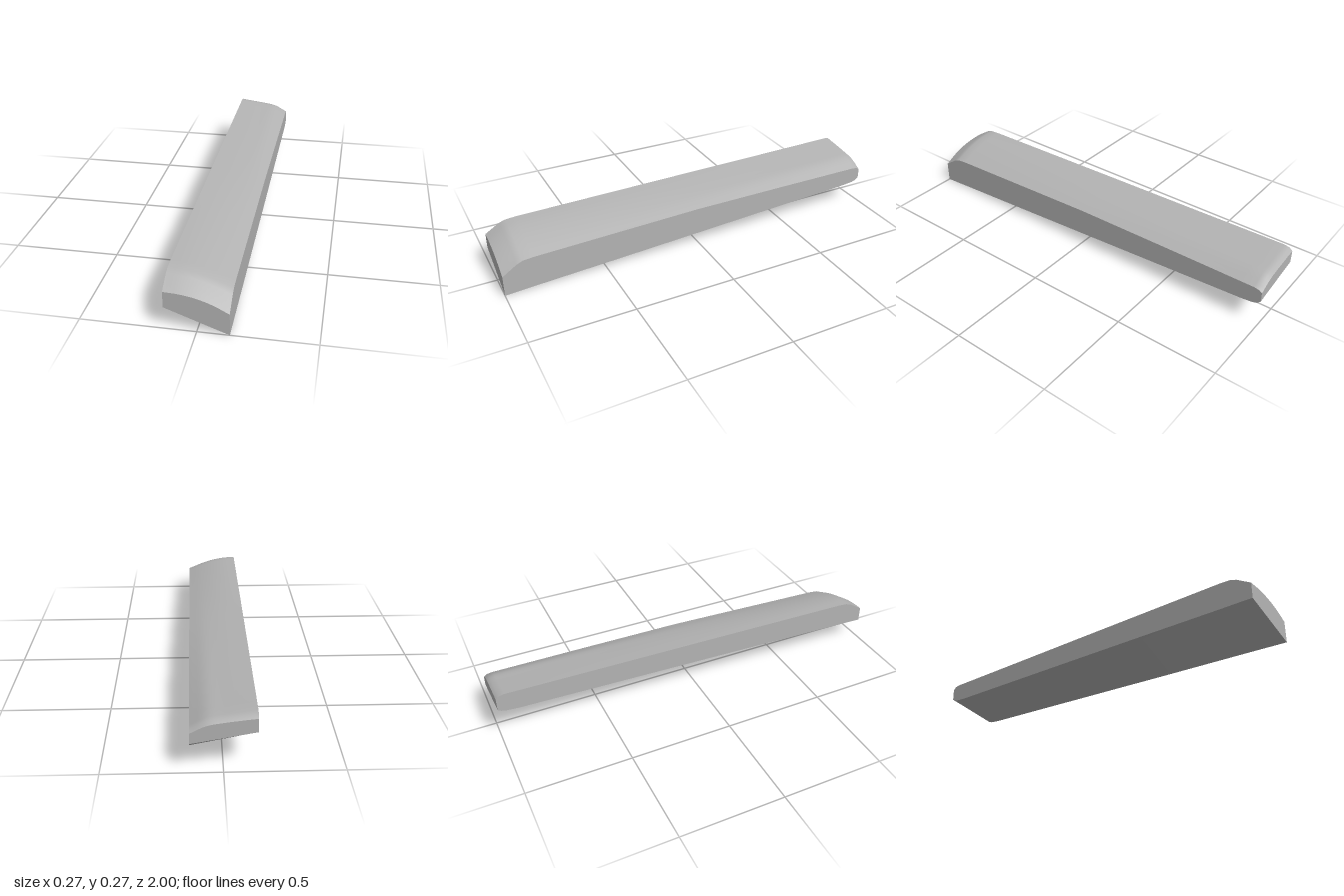
import * as THREE from 'three';

const HALF_WIDTH = 0.137;
const COLUMNS = 16;

// Stations from front to back: z, heights of the crown from -x to +x, underside height at -x and +x
const STATIONS = [
  [1.0, [0.18, 0.176, 0.163, 0.139, 0.103], 0.105, 0.0],
  [0.93, [0.223, 0.218, 0.204, 0.181, 0.15], 0.108, 0.004],
  [0.9, [0.233, 0.228, 0.214, 0.191, 0.163], 0.109, 0.006],
  [0.85, [0.237, 0.231, 0.217, 0.195, 0.168], 0.11, 0.009],
  [0.4, [0.245, 0.238, 0.226, 0.208, 0.183], 0.126, 0.034],
  [0.0, [0.252, 0.244, 0.234, 0.219, 0.196], 0.139, 0.057],
  [-0.5, [0.26, 0.251, 0.241, 0.229, 0.199], 0.155, 0.086],
  [-0.9, [0.267, 0.257, 0.247, 0.236, 0.2], 0.168, 0.109],
  [-0.96, [0.268, 0.258, 0.248, 0.237, 0.2], 0.173, 0.115],
  [-0.985, [0.263, 0.254, 0.245, 0.232, 0.196], 0.179, 0.123],
  [-1.0, [0.25, 0.242, 0.233, 0.22, 0.186], 0.188, 0.138],
];

// Smooth surface through a grid of points; columns x rows gives the outward side
function patch(name, rows, material) {
  const n = rows[0].length;
  const index = [];
  for (let i = 0; i < rows.length - 1; i++) {
    for (let j = 0; j < n - 1; j++) {
      const a = i * n + j, b = a + 1, c = a + n, d = c + 1;
      index.push(a, b, c, b, d, c);
    }
  }
  const geometry = new THREE.BufferGeometry().setFromPoints(rows.flat());
  geometry.setIndex(index);
  geometry.computeVertexNormals();
  const mesh = new THREE.Mesh(geometry, material);
  mesh.name = name;
  return mesh;
}

export function createModel() {
  const group = new THREE.Group();
  group.name = 'curvedBar';
  const grey = new THREE.MeshStandardMaterial({ color: 0xb3b3b3 });
  grey.name = 'plain grey';

  // Crown and underside points of every station
  const crown = STATIONS.map(([z, heights]) => new THREE.CatmullRomCurve3(
    heights.map((y, k) => new THREE.Vector3((k / 2 - 1) * HALF_WIDTH, y, z))
  ).getPoints(COLUMNS));
  const under = STATIONS.map(([z, , yLeft, yRight], i) => crown[i].map((p) => {
    const t = (p.x + HALF_WIDTH) / (2 * HALF_WIDTH);
    return new THREE.Vector3(p.x, THREE.MathUtils.lerp(yLeft, yRight, t), z);
  }));
  const last = STATIONS.length - 1;

  group.add(
    patch('crownedTop', crown, grey),
    patch('underside', under.map((row) => [...row].reverse()), grey),
    patch('leftSide', crown.map((row, i) => [row[COLUMNS], under[i][COLUMNS]]), grey),
    patch('rightSide', crown.map((row, i) => [under[i][0], row[0]]), grey),
    patch('frontEnd', [under[0], crown[0]], grey),
    patch('backEnd', [crown[last], under[last]], grey),
  );
  return group;
}
